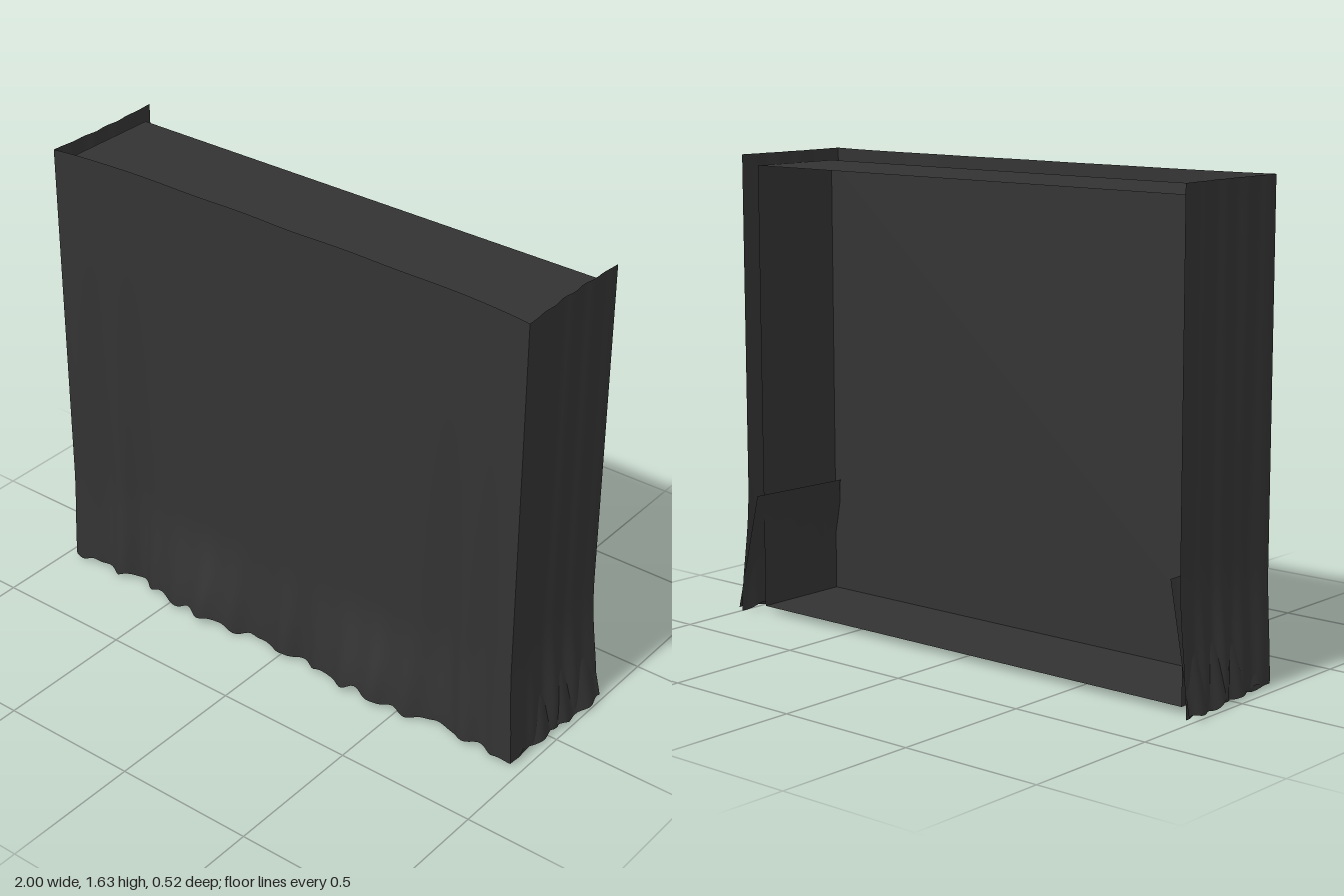
import * as THREE from 'three';

const TOP = 1.64;
const cloth = new THREE.MeshStandardMaterial({ color: 0x333333, roughness: 0.9, side: THREE.DoubleSide });

const bump = (v, centre, width) => Math.exp(-(((v - centre) / width) ** 2));
const step = THREE.MathUtils.smoothstep;

// 1 at the hem, 0 at the given height and above
const low = (y, height) => 1 - step(y, 0, height);
const hem = (s) => 0.018 + 0.007 * Math.sin(s * 31) + 0.004 * Math.sin(s * 57 + 1);

// A sheet whose points follow a rule of u (left to right) and v (bottom to top)
function sheet(name, nu, nv, rule) {
  const geo = new THREE.PlaneGeometry(1, 1, nu, nv);
  const pos = geo.attributes.position;
  for (let i = 0; i < pos.count; i++) {
    pos.setXYZ(i, ...rule(pos.getX(i) + 0.5, pos.getY(i) + 0.5));
  }
  geo.computeVertexNormals();
  const mesh = new THREE.Mesh(geo, cloth);
  mesh.name = name;
  return mesh;
}

// Front drape: pulled in near the ends, swelling outwards at the hem
function frontPoint(s, v) {
  const a = Math.abs(s);
  const bottom = hem(s * 1.3) + 0.018 * bump(a, 0.37, 0.1);
  const y = bottom + (TOP - bottom) * v ** 1.5;
  const f = low(y, 0.4);
  const fold = low(y, 1.4);
  const x = s * (0.945 + 0.015 * f);
  let z = 0.18 + 0.03 * a ** 6;
  z += 0.003 * Math.sin(s * 14 + 1) * (1 - a);
  z -= fold * (0.03 * bump(a, 0.7, 0.07) + 0.022 * bump(a, 0.86, 0.05));
  z += fold * 0.012 * bump(a, 0.78, 0.04);
  z += f * (0.025 + 0.035 * bump(a, 0.37, 0.16) + 0.012 * bump(s, 0, 0.04)) * (1 - a ** 8);
  z -= f * 0.015 * bump(a, 0.1, 0.06);
  z += f * 0.008 * Math.sin(s * 48) * (1 - a ** 8);
  return [x, y, z];
}

// Side drape: from the front corner (r = 0) to the free back edge (r = 1)
function sidePoint(side, r, v) {
  const corner = frontPoint(side, v);
  const y = THREE.MathUtils.lerp(hem(r * 0.45 + 1.3), TOP, v ** 1.5);
  const f = low(y, 0.5);
  const inner = Math.sin(Math.PI * r);
  const z = THREE.MathUtils.lerp(corner[2], -0.26 - 0.008 * f, r);
  const x = Math.abs(corner[0]) - 0.008 * inner
    + inner * (0.003 + 0.007 * f) * Math.sin(r * 27)
    - 0.008 * low(y, 1.5) * bump(r, 0.3, 0.1) + 0.02 * f * r;
  return [side * x, THREE.MathUtils.lerp(corner[1], y, Math.min(1, r * 8)), z];
}

// Leaning flap that starts inside the box wall and kicks out at the floor
function flapPoint(side, r, v) {
  const y = THREE.MathUtils.lerp(hem(r * 0.5 + 0.4), 0.44, v);
  const out = 1 - v;
  const z = THREE.MathUtils.lerp(0.14 + 0.05 * out, -0.255 - 0.015 * out, r);
  const x = 0.885 + 0.02 * r + out * (0.065 + 0.03 * r)
    + 0.008 * out * Math.sin(r * 24);
  return [side * x, y, z];
}

export function createModel() {
  const model = new THREE.Group();
  model.name = 'drapedBox';

  // Box with an open back
  const boxGeo = new THREE.BoxGeometry(1.84, 1.57, 0.36);
  boxGeo.setIndex(Array.from(boxGeo.index.array).slice(0, 30));
  boxGeo.clearGroups();
  const box = new THREE.Mesh(boxGeo, cloth);
  box.name = 'openBox';
  box.position.set(0, 0.815, -0.03);
  model.add(box);

  // Cloth hung over the front and both ends
  model.add(sheet('frontDrape', 160, 40, (u, v) => frontPoint(u * 2 - 1, v)));
  for (const side of [1, -1]) {
    const label = side > 0 ? 'left' : 'right';
    const along = (u) => (side > 0 ? u : 1 - u);
    model.add(sheet(label + 'Drape', 48, 40, (u, v) => sidePoint(side, along(u), v)));
    model.add(sheet(label + 'Flap', 40, 8, (u, v) => flapPoint(side, along(u), v)));
  }
  return model;
}
